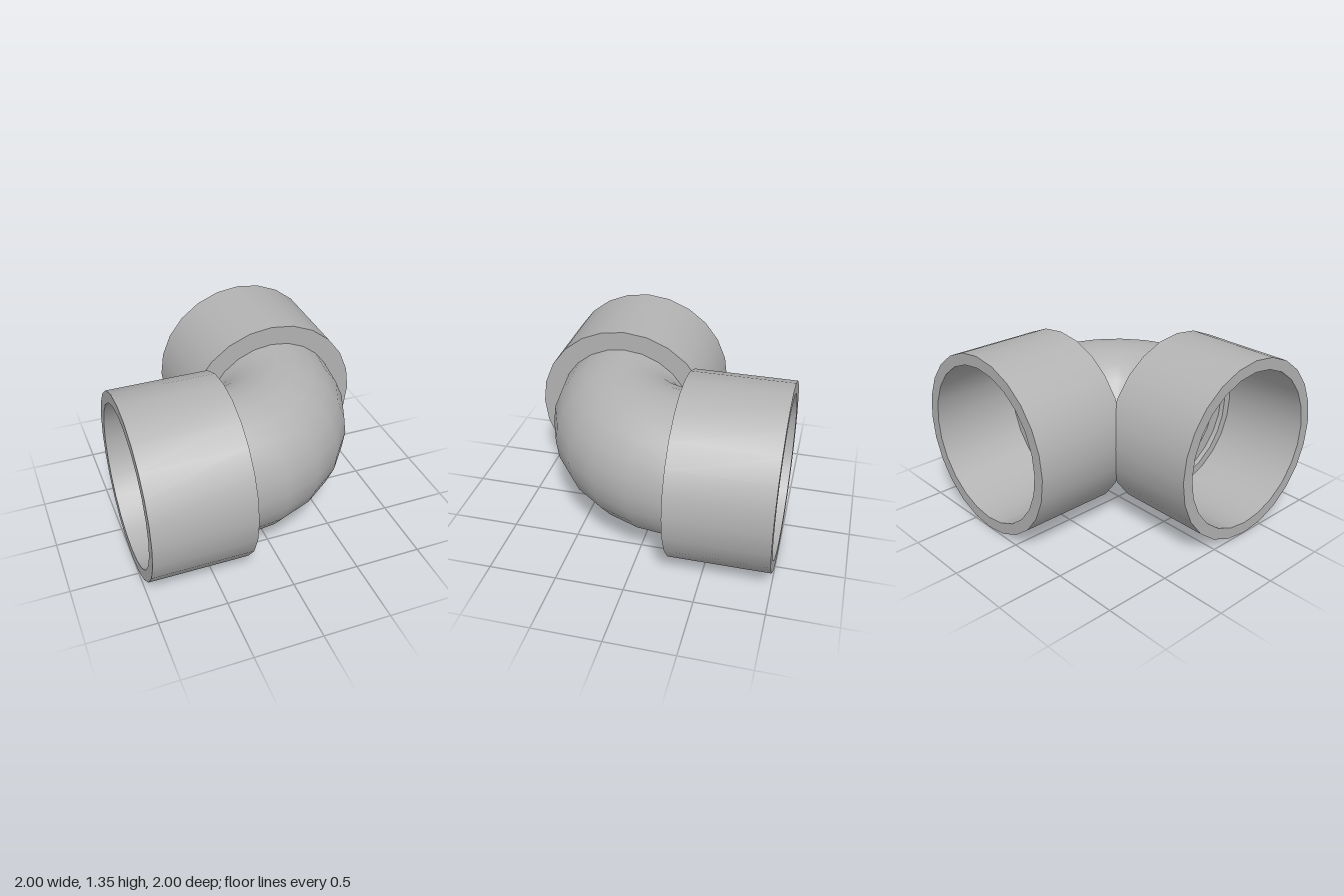
import * as THREE from 'three';
import { toCreasedNormals } from 'three/addons/utils/BufferGeometryUtils.js';

const SIDES = 24;
const AXIS = 0.325;    // offset of each pipe axis from the middle
const HEIGHT = 0.675;  // height of the pipe axes
const END = -0.27;     // where the bend meets the sockets
const BEND = AXIS - END;
const OUTER = 0.53, BORE = 0.44;

// Full circle profile for the bend; dir = 1 faces outward, -1 faces inward
function circle(radius, dir) {
  const points = [];
  for (let i = 0; i <= SIDES; i++) {
    const a = dir * i * Math.PI * 2 / SIDES;
    points.push(new THREE.Vector2(BEND + radius * Math.cos(a), radius * Math.sin(a)));
  }
  return points;
}

export function createModel() {
  const group = new THREE.Group();
  const grey = new THREE.MeshStandardMaterial({ color: 0xb3b3b3 });
  grey.name = 'grey plastic';

  const add = (name, geometry, x, y, z) => {
    const mesh = new THREE.Mesh(toCreasedNormals(geometry, 0.6), grey);
    mesh.name = name;
    mesh.position.set(x, y, z);
    group.add(mesh);
    return mesh;
  };

  // Quarter bend: outer skin and bore, swept about a vertical axis
  for (const [name, radius, dir] of [['bendOuter', OUTER, 1], ['bendBore', BORE, -1]]) {
    add(name, new THREE.LatheGeometry(circle(radius, dir), 6, 0, Math.PI / 2), END, HEIGHT, END);
  }

  // Rims of the bend, seen inside the sockets
  const rim = () => new THREE.RingGeometry(BORE, OUTER, SIDES);
  add('sideRim', rim().rotateY(-Math.PI / 2), END, HEIGHT, AXIS);
  add('backRim', rim().rotateY(Math.PI), AXIS, HEIGHT, END);

  // Sockets: thick sleeves with a thin floor around the bend
  const profile = [
    [OUTER, 0], [0.675, 0], [0.675, 0.73], [0.59, 0.73], [0.59, 0.04], [OUTER, 0.04], [OUTER, 0],
  ].map(([r, y]) => new THREE.Vector2(r, y));
  const socket = () => new THREE.LatheGeometry(profile, SIDES);
  add('sideSocket', socket().rotateZ(Math.PI / 2), END, HEIGHT, AXIS);
  add('backSocket', socket().rotateX(-Math.PI / 2), AXIS, HEIGHT, END);

  return group;
}
